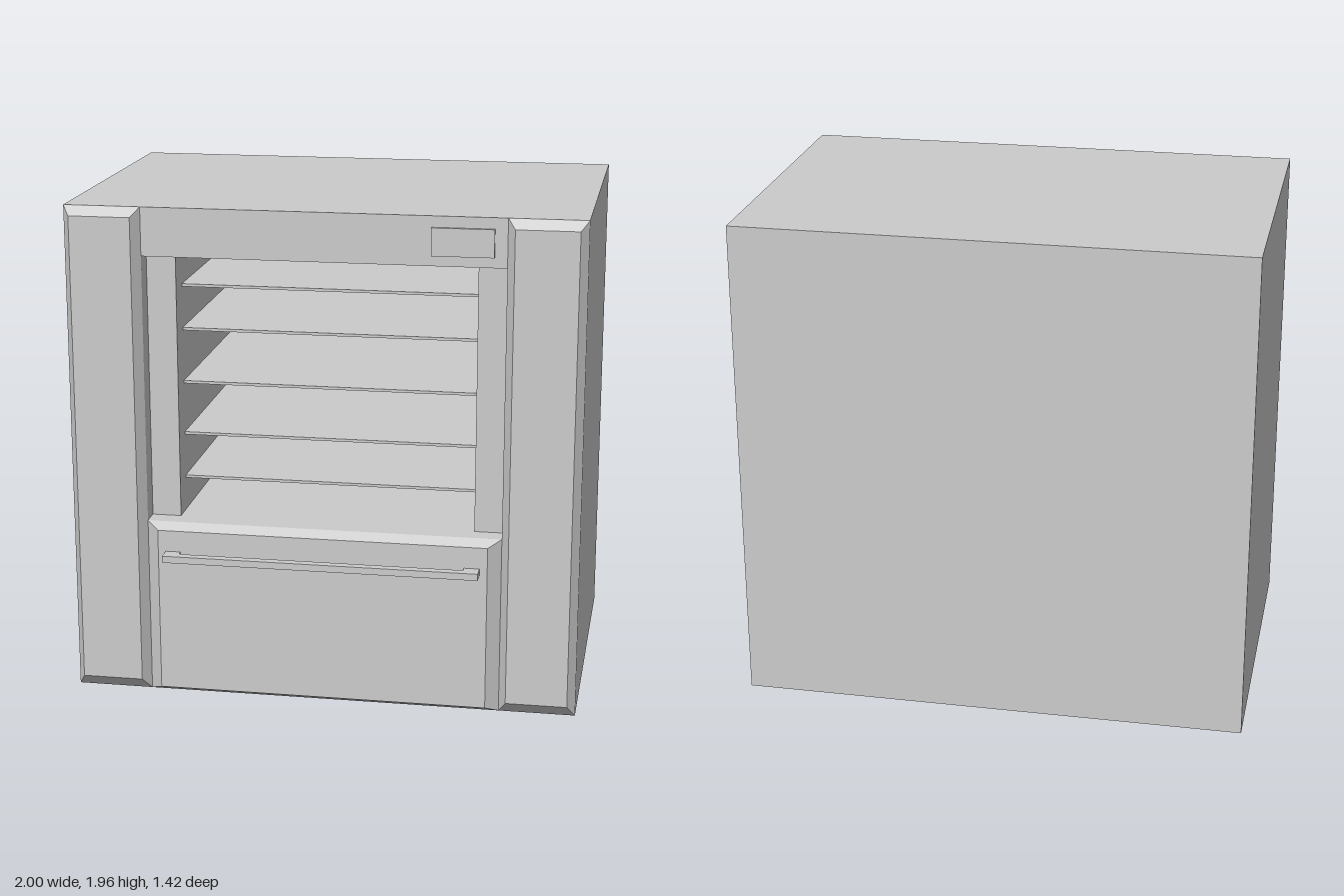
import * as THREE from 'three';

const material = new THREE.MeshStandardMaterial({ color: 0xcccccc });
const HEIGHT = 1.96, BACK = -0.71, FRONT = 0.607, PANEL = 0.65;
const RECESS = 0.53, CAVITY_BACK = -0.64;
const FLOOR = 0.71, CEILING = 1.77;

function addMesh(parent, name, geometry) {
  const mesh = new THREE.Mesh(geometry, material);
  mesh.name = name;
  parent.add(mesh);
  return mesh;
}

// Box given by its minimum and maximum corners
function addBox(parent, name, [x0, y0, z0], [x1, y1, z1]) {
  const mesh = addMesh(parent, name, new THREE.BoxGeometry(x1 - x0, y1 - y0, z1 - z0));
  mesh.position.set((x0 + x1) / 2, (y0 + y1) / 2, (z0 + z1) / 2);
  return mesh;
}

// Cabinet slice from z0 to z1 with a rectangular opening
function addFrame(parent, name, halfOpening, z0, z1) {
  const shape = new THREE.Shape([
    new THREE.Vector2(-1, 0), new THREE.Vector2(1, 0),
    new THREE.Vector2(1, HEIGHT), new THREE.Vector2(-1, HEIGHT),
  ]);
  shape.holes.push(new THREE.Path([
    new THREE.Vector2(-halfOpening, FLOOR), new THREE.Vector2(-halfOpening, CEILING),
    new THREE.Vector2(halfOpening, CEILING), new THREE.Vector2(halfOpening, FLOOR),
  ]));
  const geometry = new THREE.ExtrudeGeometry(shape, { depth: z1 - z0, bevelEnabled: false });
  geometry.translate(0, 0, z0);
  addMesh(parent, name, geometry);
}

// Front panel whose face is inset from its base by sloping edges
function addBevelledPanel(parent, name, [x0, x1], [y0, y1], side, bottom, top) {
  const geometry = new THREE.BoxGeometry(1, 1, 1);
  const p = geometry.attributes.position;
  for (let i = 0; i < p.count; i++) {
    const face = p.getZ(i) > 0 ? 1 : 0;
    p.setXYZ(i,
      p.getX(i) < 0 ? x0 + side * face : x1 - side * face,
      p.getY(i) < 0 ? y0 + bottom * face : y1 - top * face,
      face ? PANEL : FRONT);
  }
  geometry.computeVertexNormals();
  addMesh(parent, name, geometry);
}

export function createModel() {
  const model = new THREE.Group();
  model.name = 'displayCabinet';

  // Hollow cabinet with a stepped opening
  const cabinet = new THREE.Group();
  cabinet.name = 'cabinet';
  model.add(cabinet);
  addBox(cabinet, 'backWall', [-1, 0, BACK], [1, HEIGHT, CAVITY_BACK]);
  addFrame(cabinet, 'cavityWalls', 0.585, CAVITY_BACK, RECESS);
  addFrame(cabinet, 'frontFrame', 0.7, RECESS, FRONT);

  // Side columns
  addBevelledPanel(model, 'leftColumn', [0.7, 1], [0, HEIGHT], 0.03, 0.05, 0.035);
  addBevelledPanel(model, 'rightColumn', [-1, -0.7], [0, HEIGHT], 0.03, 0.05, 0.035);

  // Drawer front and its handle
  addBevelledPanel(model, 'drawerFront', [-0.7, 0.7], [0, FLOOR], 0.05, 0.025, 0.025);
  const handle = new THREE.Group();
  handle.name = 'drawerHandle';
  model.add(handle);
  addBox(handle, 'handleBar', [-0.62, 0.573, 0.675], [0.62, 0.6, 0.71]);
  for (const [name, x] of [['leftHandleMount', 0.56], ['rightHandleMount', -0.62]]) {
    addBox(handle, name, [x, 0.573, PANEL], [x + 0.06, 0.6, 0.675]);
  }

  // Shelves
  for (const y of [0.84, 1.02, 1.23, 1.445, 1.62]) {
    addBox(model, 'shelf', [-0.585, y, CAVITY_BACK], [0.585, y + 0.011, 0.437]);
  }

  // Control display on the header
  addBox(model, 'controlDisplay', [0.415, 1.81, FRONT], [0.652, 1.917, 0.62]);

  return model;
}
